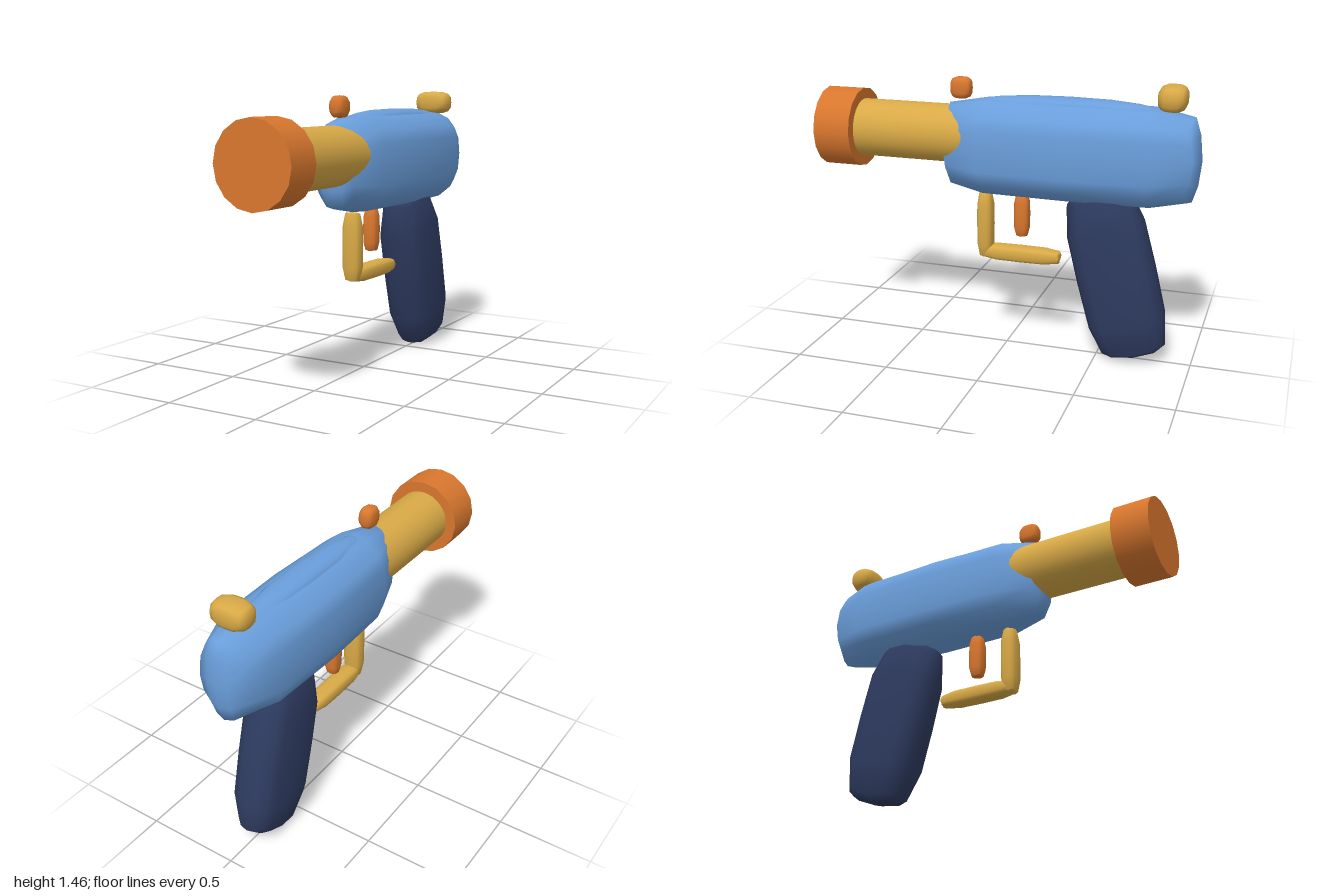
import * as THREE from 'three';
import { mergeVertices } from 'three/addons/utils/BufferGeometryUtils.js';

const mat = (name, color) => {
  const m = new THREE.MeshStandardMaterial({ color });
  m.name = name;
  return m;
};

// Soft block: a 4x4x4 box whose rings are tucked in towards edges and corners.
// q: place of the quarter rings; edge[a][b]: scale of axis a at the ends of axis b;
// ring[a][b]: scale of axis a at the quarter rings of axis b.
const even = (v) => [[v, v, v], [v, v, v], [v, v, v]];
function softBox(half, q = [0.6, 0.6, 0.6], edge = even(0.82), ring = even(0.97)) {
  let geo = new THREE.BoxGeometry(2, 2, 2, 4, 4, 4);
  geo.deleteAttribute('uv');
  geo.deleteAttribute('normal');
  geo = mergeVertices(geo);
  const pos = geo.attributes.position;
  for (let i = 0; i < pos.count; i++) {
    const level = [pos.getX(i), pos.getY(i), pos.getZ(i)].map((v) => Math.round(v * 2));
    const p = level.map((l, a) => {
      let v = Math.sign(l) * half[a] * (Math.abs(l) === 1 ? q[a] : 1);
      level.forEach((m, b) => {
        if (b === a) return;
        if (Math.abs(m) === 2) v *= edge[a][b];
        else if (Math.abs(m) === 1) v *= ring[a][b];
      });
      return v;
    });
    pos.setXYZ(i, ...p);
  }
  geo.computeVertexNormals();
  return geo;
}

export function createModel() {
  const group = new THREE.Group();
  const blue = mat('blue', 0x6a9edb);
  const gold = mat('gold', 0xd8a946);
  const orange = mat('orange', 0xd9772e);
  const navy = mat('navy', 0x2e3b60);

  const add = (name, geo, material, x, y, z) => {
    const mesh = new THREE.Mesh(geo, material);
    mesh.name = name;
    mesh.position.set(x, y, z);
    group.add(mesh);
    return mesh;
  };

  // Body with a low swelling along its top
  add('body', softBox([0.197, 0.252, 0.675], [0.5, 0.6, 0.7],
    [[1, 0.86, 0.58], [0.72, 1, 0.85], [0.95, 0.94, 1]],
    [[1, 0.98, 0.92], [0.96, 1, 0.99], [0.98, 0.98, 1]]), blue, 0, 1.11, -0.325);
  add('topRib', softBox([0.085, 0.06, 0.5], [0.6, 0.6, 0.6],
    even(0.75), even(0.94)), blue, 0, 1.325, -0.325);

  // Barrel and muzzle
  const tube = (r, len, sides) => new THREE.CylinderGeometry(r, r, len, sides).rotateX(Math.PI / 2);
  add('barrel', tube(0.152, 0.8, 32), gold, 0, 1.16, 0.42);
  add('muzzle', tube(0.21, 0.2, 16), orange, 0, 1.16, 0.9);

  // Slanted grip
  const grip = add('grip', softBox([0.13, 0.458, 0.207], [0.55, 0.62, 0.7],
    [[1, 0.76, 0.78], [0.92, 1, 0.91], [0.84, 0.82, 1]],
    [[1, 0.99, 0.96], [0.98, 1, 0.97], [0.97, 0.98, 1]]), navy, 0, 0.472, -0.595);
  grip.rotation.x = 0.253;

  // Trigger and its guard
  const uprightEdge = [[1, 0.72, 0.82], [0.97, 1, 0.97], [0.82, 0.72, 1]];
  add('trigger', softBox([0.04, 0.118, 0.04], [0.6, 0.62, 0.6], uprightEdge), orange, 0, 0.748, -0.083);
  add('guardFront', softBox([0.052, 0.183, 0.042], [0.6, 0.62, 0.6], uprightEdge), gold, 0, 0.68, 0.118);
  add('guardBottom', softBox([0.052, 0.042, 0.22], [0.6, 0.6, 0.62],
    [[1, 0.82, 0.72], [0.82, 1, 0.72], [0.97, 0.97, 1]]), gold, 0, 0.53, -0.077);

  // Sights
  add('rearSight', softBox([0.1, 0.064, 0.071]), gold, 0, 1.411, -0.844);
  add('frontSight', softBox([0.041, 0.056, 0.056]), orange, 0, 1.403, 0.246);

  return group;
}
